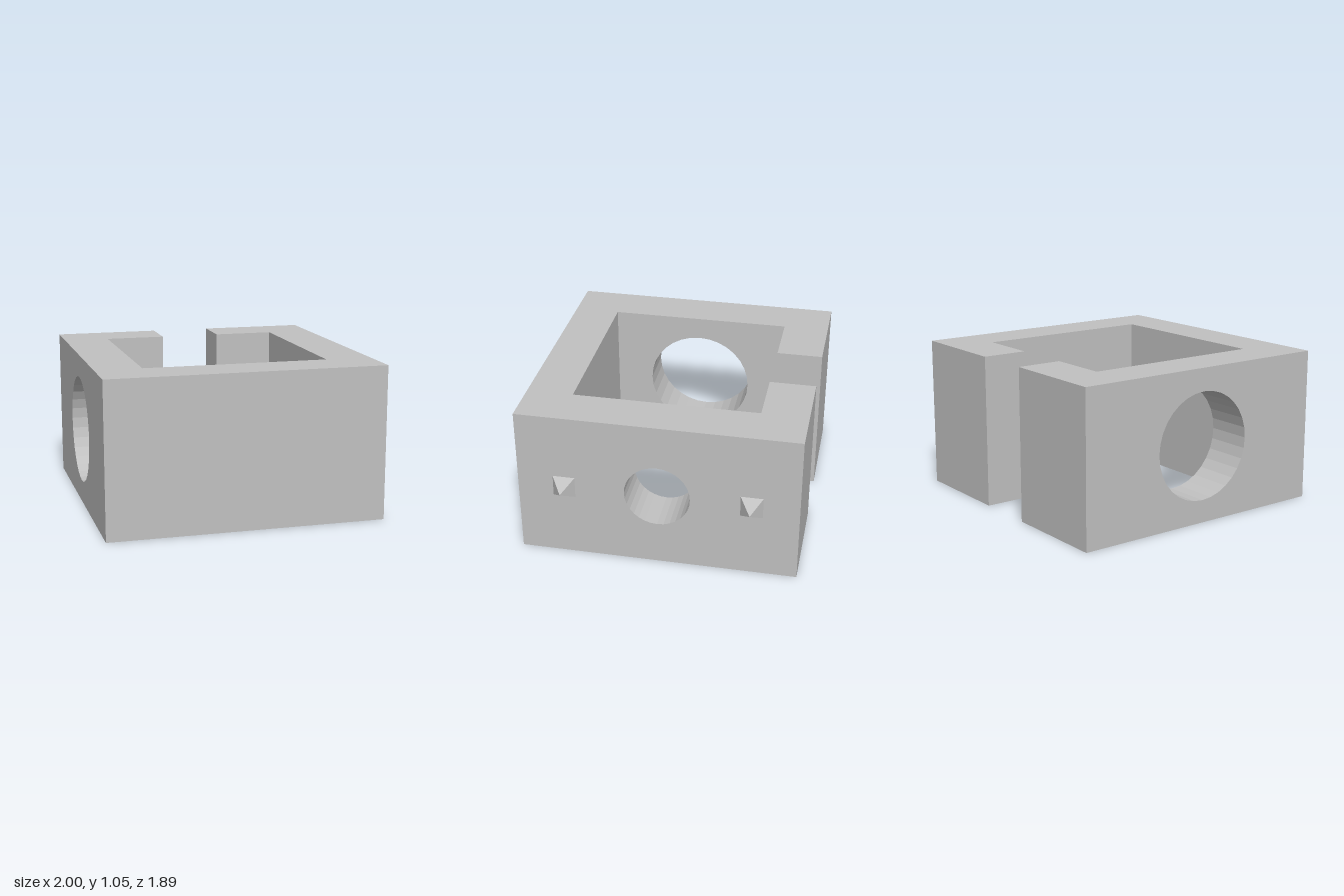
import * as THREE from 'three';

const HEIGHT = 1.053, MID_Y = HEIGHT / 2;
const HALF_DEPTH = 0.947, INNER_Z = 0.631;
const LEFT = 0.893, RIGHT = -1, WALL = 0.316;

export function createModel() {
  const model = new THREE.Group();
  model.name = 'slottedBlock';
  const grey = new THREE.MeshStandardMaterial({ color: 0xc0c0c0, flatShading: true });
  grey.name = 'plain grey';

  function add(name, geometry, x, y, z) {
    const mesh = new THREE.Mesh(geometry, grey);
    mesh.name = name;
    mesh.position.set(x, y, z);
    model.add(mesh);
  }

  // Side wall with a round through-hole, extruded along x
  function sideWall(name, x, radius) {
    const shape = new THREE.Shape();
    shape.moveTo(-HALF_DEPTH, 0);
    shape.lineTo(HALF_DEPTH, 0);
    shape.lineTo(HALF_DEPTH, HEIGHT);
    shape.lineTo(-HALF_DEPTH, HEIGHT);
    shape.closePath();
    const hole = new THREE.Path();
    hole.absarc(0, MID_Y, radius, 0, Math.PI * 2, true);
    shape.holes.push(hole);
    const geometry = new THREE.ExtrudeGeometry(shape, {
      depth: WALL, bevelEnabled: false, curveSegments: 16,
    });
    geometry.rotateY(Math.PI / 2);
    add(name, geometry, x, 0, 0);
  }
  sideWall('leftWall', LEFT - WALL, 0.222);
  sideWall('rightWall', RIGHT, 0.37);

  // Wall panel between the side walls
  function panel(name, x0, x1, z) {
    add(name, new THREE.BoxGeometry(x1 - x0, HEIGHT, WALL), (x0 + x1) / 2, MID_Y, z);
  }
  const wallZ = (HALF_DEPTH + INNER_Z) / 2;
  panel('frontWall', RIGHT + WALL, LEFT - WALL, wallZ);

  // Back wall, split by a full-height slot
  panel('backWallRight', RIGHT + WALL, -0.264, -wallZ);
  panel('backWallLeft', 0.157, LEFT - WALL, -wallZ);

  // Pyramid studs on the left wall
  const studLength = 1 - LEFT;
  for (const side of [1, -1]) {
    const stud = new THREE.ConeGeometry(0.075 * Math.SQRT2, studLength, 4);
    stud.rotateY(Math.PI / 4);
    stud.rotateZ(-Math.PI / 2);
    add(side > 0 ? 'frontStud' : 'backStud', stud, LEFT + studLength / 2, MID_Y, side * INNER_Z);
  }
  return model;
}
